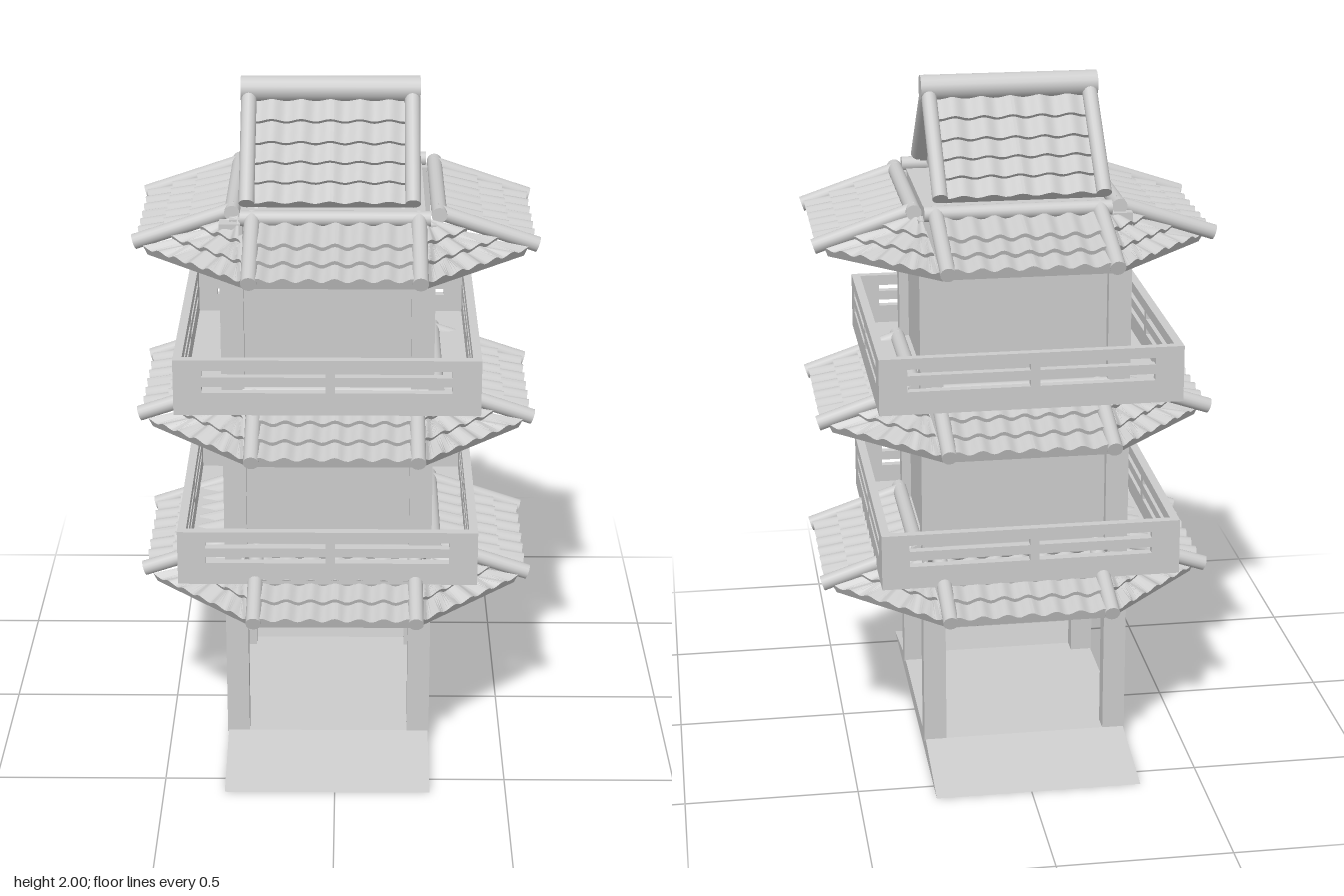
import * as THREE from 'three';
import { toCreasedNormals } from 'three/addons/utils/BufferGeometryUtils.js';

const material = new THREE.MeshStandardMaterial({ color: 0xcccccc, side: THREE.DoubleSide });
const V = (x, y, z) => new THREE.Vector3(x, y, z);

function add(parent, name, geometry, x = 0, y = 0, z = 0) {
  const mesh = new THREE.Mesh(geometry, material);
  mesh.name = name;
  mesh.position.set(x, y, z);
  parent.add(mesh);
  return mesh;
}

// Round pole between two points
function pole(parent, name, from, to, radius) {
  const dir = to.clone().sub(from);
  const mesh = add(parent, name, new THREE.CylinderGeometry(radius, radius, dir.length(), 16));
  mesh.position.copy(from).addScaledVector(dir, 0.5);
  mesh.quaternion.setFromUnitVectors(V(0, 1, 0), dir.normalize());
}

// Wavy, stepped tile slab; corners are top left, top right, bottom right, bottom left
function tilePanel(parent, name, a, b, c, d, rowEnds, period = 0.07) {
  const mid = a.clone().add(b).multiplyScalar(0.5);
  const down = d.clone().add(c).multiplyScalar(0.5).sub(mid);
  const normal = down.cross(c.clone().sub(d)).normalize();
  // Cross-section down the slope: [position, lift, waviness]
  const section = [];
  let start = 0;
  for (const end of rowEnds) {
    section.push([start, 0, 1], [end, 0.012, 1]);
    start = end;
  }
  section.push([1, -0.016, 0], [0, -0.016, 0], [0, 0, 1]);
  const steps = 48, positions = [], index = [];
  section.forEach(([v, lift, wave], i) => {
    const left = a.clone().lerp(d, v), right = b.clone().lerp(c, v);
    const width = left.distanceTo(right);
    for (let j = 0; j <= steps; j++) {
      const u = j / steps;
      const ripple = 0.007 * Math.cos((u - 0.5) * width / period * Math.PI * 2);
      const p = left.clone().lerp(right, u).addScaledVector(normal, lift + wave * ripple);
      positions.push(p.x, p.y, p.z);
      if (i < section.length - 1 && j < steps) {
        const k = i * (steps + 1) + j, n = k + steps + 1;
        index.push(k, n, k + 1, k + 1, n, n + 1);
      }
    }
  });
  const geometry = new THREE.BufferGeometry();
  geometry.setAttribute('position', new THREE.Float32BufferAttribute(positions, 3));
  geometry.setIndex(index);
  add(parent, name, toCreasedNormals(geometry, 0.6));
}

// Eight-sided skirt roof: four straight panels and four corner panels
function skirtRoof(parent, y) {
  const roof = new THREE.Group();
  roof.name = 'skirtRoof';
  roof.position.y = y;
  parent.add(roof);
  const shifts = [0, 0.005, 0, -0.02];
  for (let k = 0; k < 4; k++) {
    const side = new THREE.Group();
    side.name = 'roofSide';
    side.rotation.y = k * Math.PI / 2;
    roof.add(side);
    const s = shifts[k], w = 0.232;
    tilePanel(side, 'roofTiles', V(s - w, 0.12, 0.285), V(s + w, 0.12, 0.285),
      V(s + w, 0.027, 0.56), V(s - w, 0.027, 0.56), [0.46, 0.73, 1]);
    tilePanel(side, 'cornerTiles', V(0.25, 0.115, 0.27), V(0.25, 0.115, 0.27),
      V(0.535, 0.015, 0.245), V(0.245, 0.015, 0.535), [0.4, 0.7, 1]);
    for (const x of [s - w, s + w]) {
      pole(side, 'hipPole', V(x, 0.128, 0.28), V(x, 0.03, 0.57), 0.022);
    }
    pole(side, 'topPole', V(s - 0.265, 0.125, 0.29), V(s + 0.265, 0.125, 0.29), 0.022);
  }
}

// Slotted railing panel centred on x, standing on y = 0
function railGeometry(length, thickness) {
  const h = length / 2;
  const rect = (path, x0, y0, x1, y1) =>
    path.moveTo(x0, y0).lineTo(x1, y0).lineTo(x1, y1).lineTo(x0, y1).closePath();
  const shape = rect(new THREE.Shape(), -h, 0, h, 0.165);
  for (const [y0, y1] of [[0.067, 0.086], [0.114, 0.133]]) {
    for (const [x0, x1] of [[-h + 0.08, -0.005], [0.022, h - 0.082]]) {
      shape.holes.push(rect(new THREE.Path(), x0, y0, x1, y1));
    }
  }
  const geometry = new THREE.ExtrudeGeometry(shape, { depth: thickness, bevelEnabled: false });
  return geometry.translate(0, 0, -thickness);
}

function balcony(parent, y) {
  const group = new THREE.Group();
  group.name = 'balcony';
  group.position.set(-0.022, y, -0.004);
  parent.add(group);
  add(group, 'balconyFloor', new THREE.BoxGeometry(0.86, 0.012, 0.835), 0, 0.007, 0);
  const halfX = 0.433, halfZ = 0.42;
  for (let k = 0; k < 4; k++) {
    const across = k % 2 === 0;
    const out = across ? halfZ : halfX;
    const angle = k * Math.PI / 2;
    const rail = add(group, 'railing', railGeometry(across ? halfX * 2 : halfZ * 2 - 0.002, 0.025),
      Math.sin(angle) * out, 0, Math.cos(angle) * out);
    rail.rotation.y = angle;
  }
}

function gableRoof(parent) {
  const gable = new THREE.Group();
  gable.name = 'gableRoof';
  gable.position.x = -0.016;
  parent.add(gable);
  pole(gable, 'ridgePole', V(-0.255, 1.963, 0), V(0.255, 1.963, 0), 0.037);
  for (let k = 0; k < 2; k++) {
    const slope = new THREE.Group();
    slope.name = 'gableSlope';
    slope.rotation.y = k * Math.PI;
    gable.add(slope);
    tilePanel(slope, 'gableTiles', V(-0.23, 1.945, 0.01), V(0.23, 1.945, 0.01),
      V(0.23, 1.7, 0.258), V(-0.23, 1.7, 0.258), [0.25, 0.45, 0.63, 0.81, 1], 0.083);
    for (const x of [-0.232, 0.232]) {
      pole(slope, 'vergePole', V(x, 1.96, 0.005), V(x, 1.706, 0.268), 0.022);
    }
  }
  // Closed gable end walls
  const triangle = new THREE.Shape([new THREE.Vector2(-0.245, 1.685),
    new THREE.Vector2(0.245, 1.685), new THREE.Vector2(0, 1.93)]);
  for (const x of [-0.21, 0.2]) {
    const end = add(gable, 'gableEnd',
      new THREE.ExtrudeGeometry(triangle, { depth: 0.01, bevelEnabled: false }), x);
    end.rotation.y = Math.PI / 2;
  }
}

export function createModel() {
  const model = new THREE.Group();
  model.name = 'pagoda';
  const cx = -0.022;

  // Base with sloped ramps front and back
  const profile = new THREE.Shape([[-0.575, 0], [0.575, 0], [0.3, 0.05], [-0.3, 0.05]]
    .map(([x, y]) => new THREE.Vector2(x, y)));
  const base = add(model, 'base',
    new THREE.ExtrudeGeometry(profile, { depth: 0.6, bevelEnabled: false }), cx - 0.3);
  base.rotation.y = Math.PI / 2;

  // Corner pillars and enclosed floors
  for (const x of [-0.27, 0.27]) {
    for (const z of [-0.275, 0.275]) {
      add(model, 'pillar', new THREE.BoxGeometry(0.066, 1.61, 0.052), cx + x, 0.85, z);
    }
  }
  add(model, 'walls', new THREE.BoxGeometry(0.55, 1.185, 0.55), cx, 1.0675, 0);

  for (const y of [0.52, 1.02, 1.545]) skirtRoof(model, y);
  for (const y of [0.6, 1.13]) balcony(model, y);
  gableRoof(model);
  return model;
}
